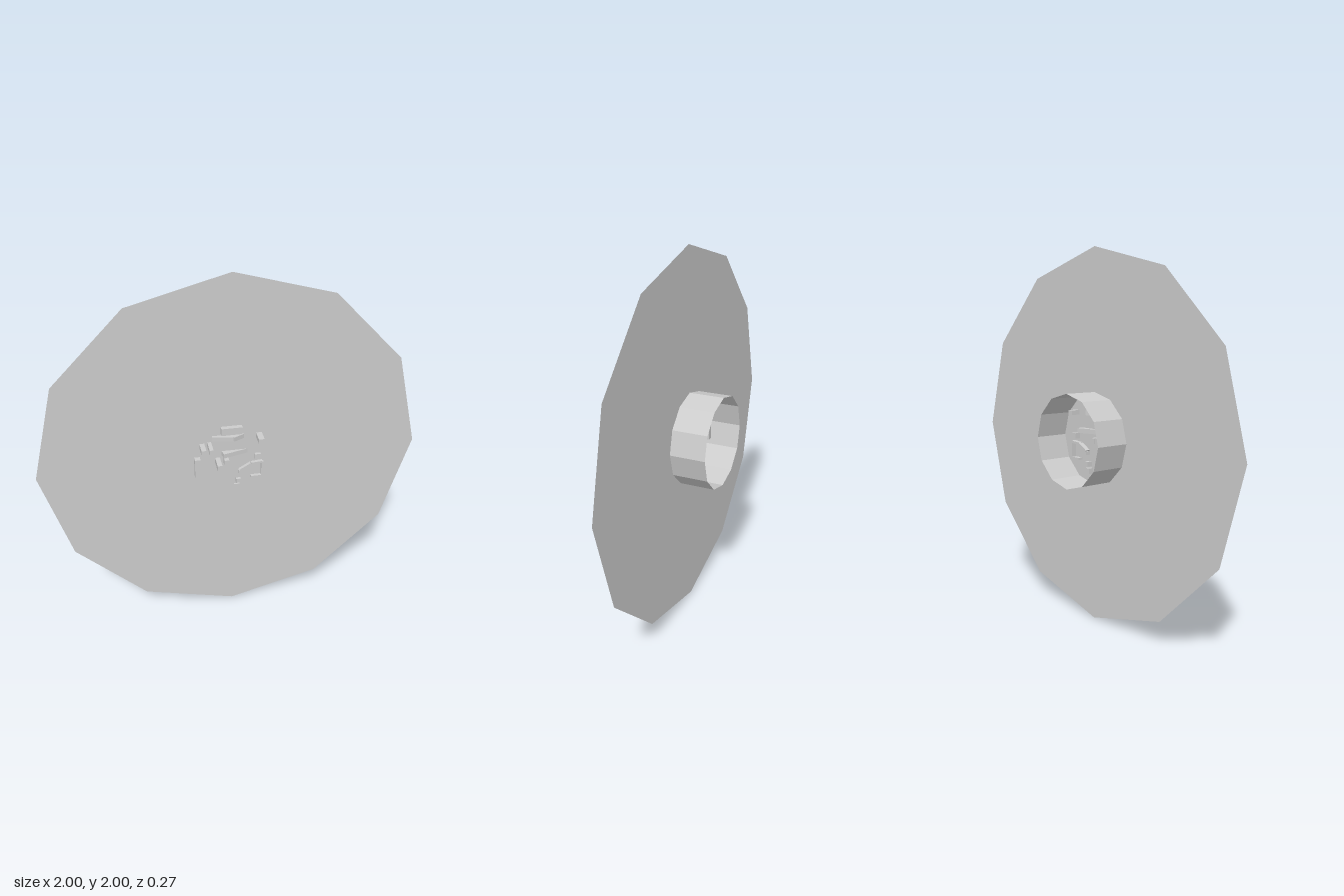
import * as THREE from 'three';

const FACE_Z = 0.05;
const grey = new THREE.MeshStandardMaterial({ color: 0xcccccc, flatShading: true, side: THREE.DoubleSide });

export function createModel() {
  const model = new THREE.Group();

  function add(parent, name, geometry) {
    const mesh = new THREE.Mesh(geometry, grey);
    mesh.name = name;
    parent.add(mesh);
    return mesh;
  }

  // Thin twelve-sided face
  add(model, 'disc', new THREE.CircleGeometry(1, 12)).position.set(0, 1, FACE_Z);

  // Open twelve-sided collar behind the face
  const collarShape = new THREE.CylinderGeometry(0.25, 0.25, 0.19, 12, 1, true);
  collarShape.rotateX(Math.PI / 2);
  add(model, 'collar', collarShape).position.set(0, 1, FACE_Z - 0.095);

  // Small blocks passing through the face: x0, x1, y0, y1, back z, front z
  const blocks = new THREE.Group();
  blocks.name = 'blocks';
  model.add(blocks);
  [
    [-0.06, 0.05, 1.16, 1.2, 0.01, 0.075],
    [-0.2, -0.17, 0.92, 1.03, 0.01, 0.08],
    [-0.17, -0.145, 1.08, 1.11, 0.0, 0.12],
    [-0.13, -0.11, 1.09, 1.115, 0.0, 0.13],
    [-0.09, -0.065, 0.985, 1.015, 0.0, 0.13],
    [-0.045, -0.02, 0.98, 1.01, 0.01, 0.08],
    [0.125, 0.155, 1.12, 1.145, 0.0, 0.12],
    [0.12, 0.15, 0.99, 1.02, 0.02, 0.065],
    [0.02, 0.045, 0.85, 0.875, 0.02, 0.065],
    [0.01, 0.04, 0.81, 0.84, 0.02, 0.06],
  ].forEach(([x0, x1, y0, y1, z0, z1]) => {
    add(blocks, 'block', new THREE.BoxGeometry(x1 - x0, y1 - y0, z1 - z0))
      .position.set((x0 + x1) / 2, (y0 + y1) / 2, (z0 + z1) / 2);
  });

  // Bars that lean through the face: centre, length, height, depth, turn about y
  [
    [-0.05, 1.137, 0.055, 0.11, 0.025, 0.035, -0.2],
    [0.025, 1.137, 0.055, 0.06, 0.025, 0.035, 0.45],
    [0.02, 1.04, 0.045, 0.15, 0.025, 0.04, 0.25],
  ].forEach(([x, y, z, length, height, depth, turn]) => {
    const bar = add(blocks, 'leaningBar', new THREE.BoxGeometry(length, height, depth));
    bar.position.set(x, y, z);
    bar.rotation.y = turn;
  });

  // Narrow bent strip on the lower left
  const bend = [[0.04, 0.91], [0.04, 0.93], [0.1, 0.965], [0.16, 0.97], [0.16, 0.88], [0.1, 0.88]];
  for (let i = 0; i < bend.length - 1; i++) {
    const [ax, ay] = bend[i], [bx, by] = bend[i + 1];
    const strip = add(blocks, 'bentStrip', new THREE.BoxGeometry(Math.hypot(bx - ax, by - ay), 0.012, 0.045));
    strip.position.set((ax + bx) / 2, (ay + by) / 2, 0.045);
    strip.rotation.z = Math.atan2(by - ay, bx - ax);
  }

  return model;
}
